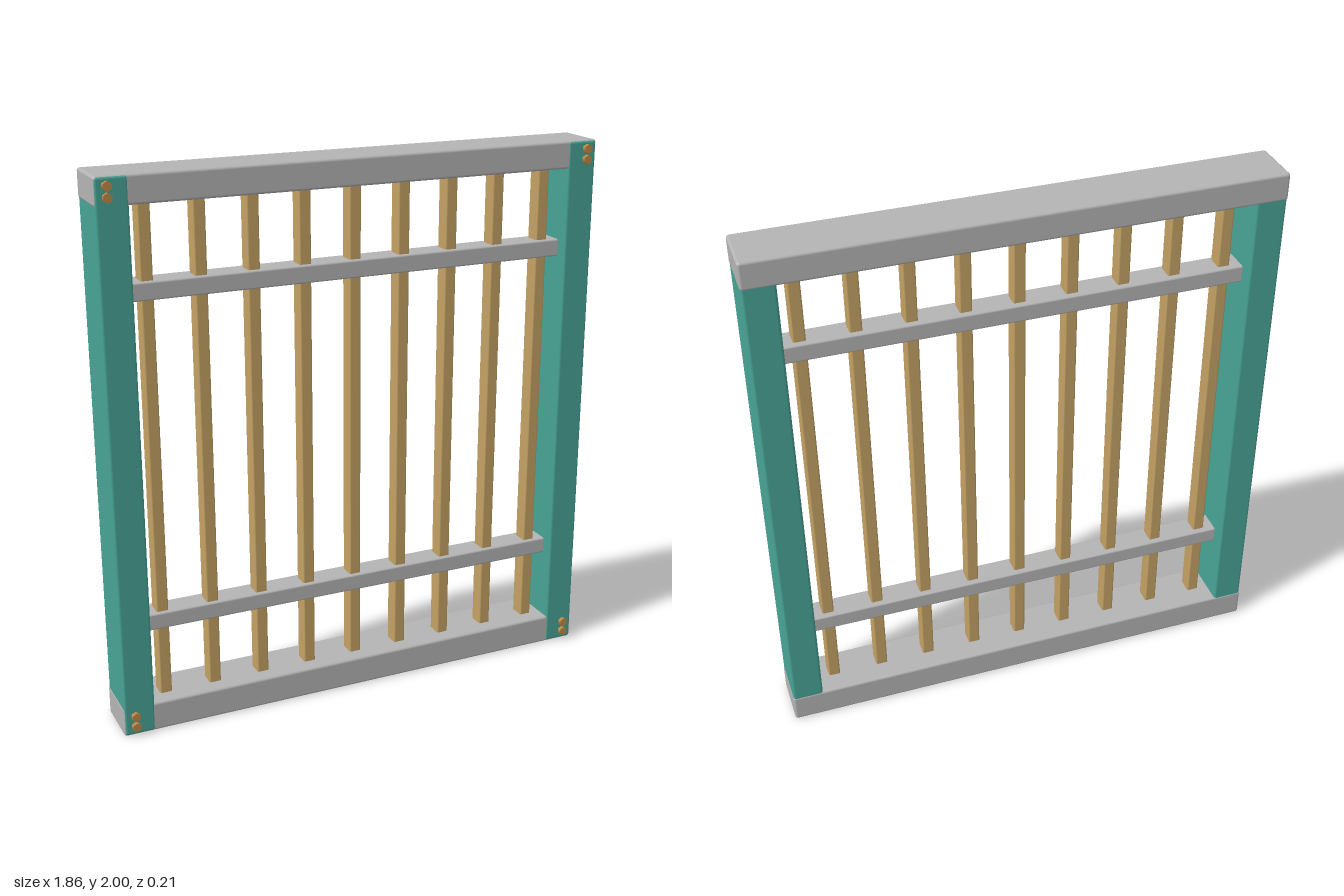
import * as THREE from 'three';
import { RoundedBoxGeometry } from 'three/addons/geometries/RoundedBoxGeometry.js';

const material = (name, color) => {
  const m = new THREE.MeshStandardMaterial({ color });
  m.name = name;
  return m;
};

export function createModel() {
  const gray = material('gray metal', 0xb4b4b4);
  const teal = material('teal paint', 0x48a496);
  const wood = material('tan wood', 0xc4a264);
  const brass = material('brass', 0xbd8a48);

  const model = new THREE.Group();
  model.name = 'barredGate';

  // Softly bevelled block given by its min and max corners
  const block = (name, mat, [x0, y0, z0], [x1, y1, z1], bevel) => {
    const geo = new RoundedBoxGeometry(x1 - x0, y1 - y0, z1 - z0, 2, bevel);
    const mesh = new THREE.Mesh(geo, mat);
    mesh.position.set((x0 + x1) / 2, (y0 + y1) / 2, (z0 + z1) / 2);
    mesh.name = name;
    model.add(mesh);
  };

  // Top and bottom beams
  block('topBeam', gray, [-0.93, 1.9, -0.107], [0.93, 2, 0.089], 0.01);
  block('bottomBeam', gray, [-0.93, 0, -0.107], [0.93, 0.11, 0.089], 0.01);

  // Side posts, lapped over the beams at the front
  block('rightPost', teal, [-0.928, 0.002, -0.105], [-0.815, 1.998, 0.091], 0.01);
  block('leftPost', teal, [0.815, 0.002, -0.105], [0.928, 1.998, 0.091], 0.01);

  // Thin cross rails
  block('upperRail', gray, [-0.82, 1.572, -0.05], [0.82, 1.636, 0.045], 0.007);
  block('lowerRail', gray, [-0.82, 0.374, -0.05], [0.82, 0.436, 0.045], 0.007);

  // Vertical bars
  for (let i = -4; i <= 4; i++) {
    const x = i * 0.188;
    block('bar', wood, [x - 0.022, 0.09, -0.029], [x + 0.022, 1.92, 0.031], 0.006);
  }

  // Pairs of hexagonal bolts at the corners
  const boltGeo = new THREE.CylinderGeometry(0.017, 0.017, 0.03, 6).rotateX(Math.PI / 2);
  for (const x of [-0.888, 0.888]) {
    for (const y of [0.037, 0.077, 1.931, 1.969]) {
      const bolt = new THREE.Mesh(boltGeo, brass);
      bolt.name = 'bolt';
      bolt.position.set(x, y, 0.092);
      model.add(bolt);
    }
  }
  return model;
}
